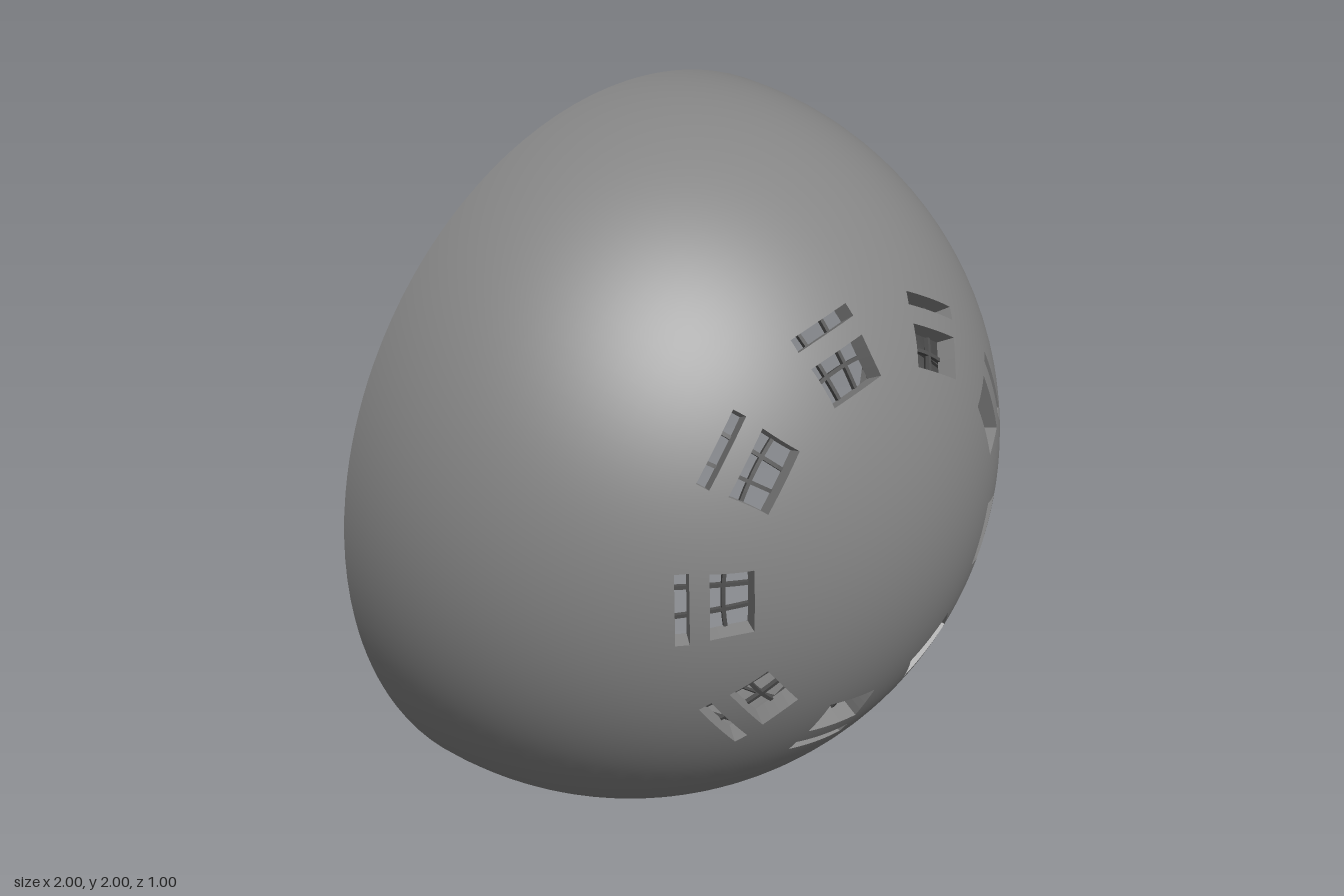
import * as THREE from 'three';

const RAD = Math.PI / 180, OUTER = 1, INNER = 0.95;
const SECTORS = 9, SECTOR = 40;                 // one window and one slit per sector
const WINDOW = [26.6, 33.1], SLIT = [36, 38.1]; // polar angles of the openings
const lerp = THREE.MathUtils.lerp;
const ramp = (v, a, b) => THREE.MathUtils.clamp((v - a) / (b - a), 0, 1);

// Rows of the shell: polar angles, with lines exactly on the opening edges
function polarRows() {
  const keys = [[0, 0], [22, 8], [WINDOW[0], 2], [WINDOW[1], 4], [SLIT[0], 2], [SLIT[1], 2], [42, 2], [90, 18]];
  const rows = [0];
  for (let k = 1; k < keys.length; k++) {
    const [a] = keys[k - 1], [b, n] = keys[k];
    for (let i = 1; i <= n; i++) rows.push(lerp(a, b, i / n));
  }
  return rows;
}

// Columns of one sector: |s| <= 1 spans the opening, 2 is the sector border
const COLS = [-2, -1.75, -1.5, -1.25, -1, -2 / 3, -1 / 3, 0, 1 / 3, 2 / 3, 1, 1.25, 1.5, 1.75, 2];

// Direction on the sphere; near the openings the grid follows straight-sided shapes
function direction(alpha, s, sector) {
  const c = THREE.MathUtils.clamp(s, -1, 1);
  const blend = ramp(alpha, 22, WINDOW[0]) * (1 - ramp(alpha, SLIT[1], 42));
  const y = c * lerp(0.086, 0.1, ramp(alpha, WINDOW[0], SLIT[0]) ** 2);
  const flat = Math.sqrt(1 - y * y), a = alpha * RAD;
  let theta = a, phi = c * 10.5 * RAD;
  if (blend > 0) {
    theta = lerp(theta, Math.acos(Math.cos(a) * flat), blend);
    phi = lerp(phi, Math.atan2(y, Math.sin(a) * flat), blend);
  }
  const out = Math.abs(s) - 1;
  if (out > 0) {
    theta = lerp(theta, a, out);
    phi = lerp(phi, Math.sign(s) * SECTOR / 2 * RAD, out);
  }
  phi += (180 + sector * SECTOR) * RAD;
  return new THREE.Vector3(Math.sin(theta) * Math.cos(phi), Math.sin(theta) * Math.sin(phi), Math.cos(theta));
}

// Collects quads; smooth = +1 / -1 gives spherical normals, 0 gives flat ones
function quadBuilder() {
  const pos = [], nor = [];
  return {
    add(quad, smooth) {
      const n = quad[2].clone().sub(quad[0]).cross(quad[3].clone().sub(quad[1])).normalize();
      for (const i of [0, 1, 2, 0, 2, 3]) {
        pos.push(...quad[i].toArray());
        nor.push(...(smooth ? quad[i].clone().normalize().multiplyScalar(smooth) : n).toArray());
      }
    },
    build() {
      const g = new THREE.BufferGeometry();
      g.setAttribute('position', new THREE.Float32BufferAttribute(pos, 3));
      g.setAttribute('normal', new THREE.Float32BufferAttribute(nor, 3));
      return g;
    },
  };
}

function shellGeometries() {
  const rows = polarRows(), skin = quadBuilder(), lining = quadBuilder(), reveals = quadBuilder(), rim = quadBuilder();
  const isHole = (i, j) => {
    const a = (rows[i] + rows[i + 1]) / 2, s = (COLS[j] + COLS[j + 1]) / 2;
    return Math.abs(s) < 1 && [WINDOW, SLIT].some(([lo, hi]) => a > lo && a < hi);
  };
  const at = (v, r) => v.clone().multiplyScalar(r);
  const wall = (p, q) => [at(p, OUTER), at(q, OUTER), at(q, INNER), at(p, INNER)];
  for (let k = 0; k < SECTORS; k++) {
    const grid = rows.map(a => COLS.map(s => direction(a, s, k)));
    for (let i = 0; i < rows.length - 1; i++) {
      for (let j = 0; j < COLS.length - 1; j++) {
        const a = grid[i][j], b = grid[i + 1][j], c = grid[i + 1][j + 1], d = grid[i][j + 1];
        if (!isHole(i, j)) {
          skin.add([a, b, c, d].map(v => at(v, OUTER)), 1);
          lining.add([d, c, b, a].map(v => at(v, INNER)), -1);
        } else {
          if (!isHole(i, j - 1)) reveals.add(wall(a, b), 0);
          if (!isHole(i + 1, j)) reveals.add(wall(b, c), 0);
          if (!isHole(i, j + 1)) reveals.add(wall(c, d), 0);
          if (!isHole(i - 1, j)) reveals.add(wall(d, a), 0);
        }
        if (i === rows.length - 2) rim.add(wall(c, b), 0);
      }
    }
  }
  return { outerShell: skin, innerLining: lining, openingReveals: reveals, baseRim: rim };
}

// Hoop of rectangular section lying on the lining at a polar angle
function hoopGeometry(deg, width, rise) {
  const t = deg * RAD, h = width / 2 / INNER;
  const p = (r, a) => new THREE.Vector2(r * Math.sin(a), r * Math.cos(a));
  const lo = INNER - rise, hi = INNER + 0.006;
  const g = new THREE.LatheGeometry([p(hi, t + h), p(hi, t - h), p(lo, t - h), p(lo, t + h), p(hi, t + h)], 126)
    .rotateX(Math.PI / 2).toNonIndexed();
  g.computeVertexNormals();
  return g;
}

// Quarter-arc rib from the rim to the crown
function ribGeometry() {
  const width = 0.01, a0 = 0.3 * RAD, a1 = 89 * RAD;
  const s = new THREE.Shape();
  s.absarc(0, 0, INNER + 0.006, a0, a1, false);
  s.absarc(0, 0, INNER - 0.005, a1, a0, true);
  return new THREE.ExtrudeGeometry(s, { depth: width, bevelEnabled: false, curveSegments: 40 })
    .translate(0, 0, -width / 2).rotateX(Math.PI / 2);
}

export function createModel() {
  const model = new THREE.Group();
  model.name = 'dome';
  const shellGrey = new THREE.MeshStandardMaterial({ color: 0x858585 });
  const frameGrey = new THREE.MeshStandardMaterial({ color: 0x505050 });
  const add = (parent, name, geometry, material) => {
    const mesh = new THREE.Mesh(geometry, material);
    mesh.name = name;
    parent.add(mesh);
    return mesh;
  };

  // Thick hemispherical shell with its openings
  for (const [name, builder] of Object.entries(shellGeometries())) add(model, name, builder.build(), shellGrey);

  // Meridian ribs, which also divide the windows
  const ribs = new THREE.Group();
  ribs.name = 'ribs';
  const rib = ribGeometry();
  for (let i = 0; i < 45; i++) add(ribs, 'rib', rib, frameGrey).rotation.z = i * 8 * RAD;
  model.add(ribs);

  // Two broad hoops and the slim one crossing the windows
  add(model, 'lowerHoop', hoopGeometry(72.5, 0.03, 0.006), frameGrey);
  add(model, 'middleHoop', hoopGeometry(53.5, 0.03, 0.006), frameGrey);
  add(model, 'windowHoop', hoopGeometry(30.5, 0.01, 0.005), frameGrey);

  model.position.set(0, 1, -0.5);
  const root = new THREE.Group();
  root.name = 'domeModel';
  root.add(model);
  return root;
}
